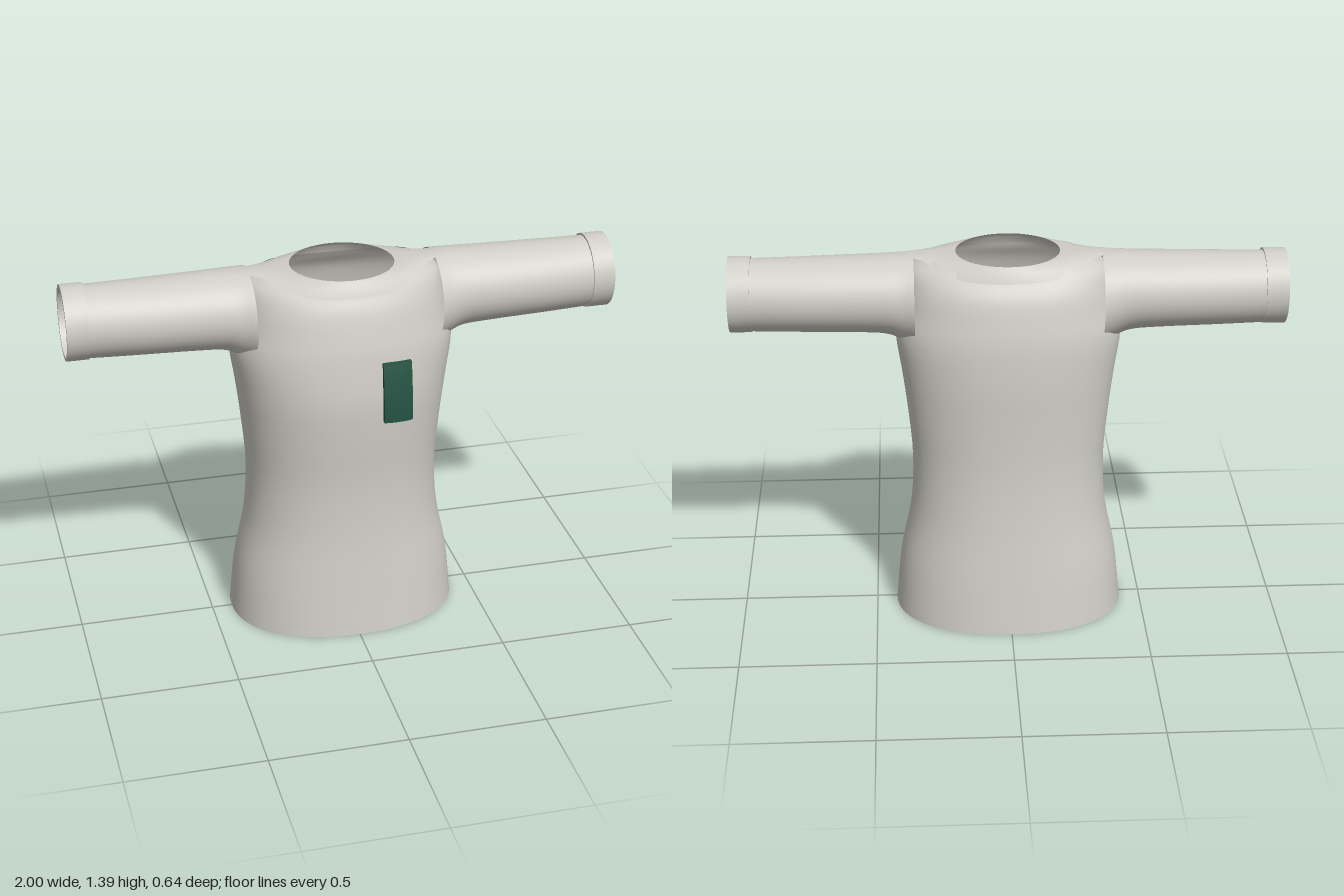
import * as THREE from 'three';
import { toCreasedNormals } from 'three/addons/utils/BufferGeometryUtils.js';

const SIDES = 64;

// Skin a list of closed rings, each given by ringAt(section, angle) -> [x, y, z]
function loft(sections, ringAt) {
  const pos = [], index = [];
  sections.forEach((s, r) => {
    for (let i = 0; i < SIDES; i++) {
      pos.push(...ringAt(s, (i / SIDES) * Math.PI * 2));
      if (r === sections.length - 1) continue;
      const a = r * SIDES + i, b = r * SIDES + (i + 1) % SIDES;
      index.push(a, b, a + SIDES, b, b + SIDES, a + SIDES);
    }
  });
  const g = new THREE.BufferGeometry();
  g.setAttribute('position', new THREE.Float32BufferAttribute(pos, 3));
  g.setIndex(index);
  g.computeVertexNormals();
  return g;
}

// Smooth extra sections between the given ones
function refine(sections, count) {
  const n = sections.length - 1;
  const cols = sections[0].map((_, c) => new THREE.CatmullRomCurve3(
    sections.map((s, i) => new THREE.Vector3(s[c], i, 0)), false, 'catmullrom', 0.5));
  return Array.from({ length: count + 1 }, (_, k) =>
    cols.map((curve) => curve.getPoint(k / count).x)).slice(0, Math.max(count + 1, n));
}

const softPow = (v, p) => Math.sign(v) * Math.abs(v) ** p;

export function createModel() {
  const group = new THREE.Group();
  const cloth = new THREE.MeshStandardMaterial({ color: 0xd0cec6, side: THREE.DoubleSide });
  cloth.name = 'pale grey cloth';
  const green = new THREE.MeshStandardMaterial({ color: 0x245343 });
  green.name = 'dark green patch';

  const add = (name, geometry, material) => {
    const mesh = new THREE.Mesh(geometry, material);
    mesh.name = name;
    group.add(mesh);
  };

  // Torso: [y, half width, front z, back z, side lift]
  const torso = [
    [0, 0.425, 0.316, -0.318, 0],
    [0.2, 0.405, 0.297, -0.293, 0],
    [0.4, 0.365, 0.281, -0.267, 0],
    [0.6, 0.354, 0.279, -0.25, 0],
    [0.8, 0.37, 0.294, -0.247, 0],
    [0.95, 0.388, 0.301, -0.248, 0],
    [1.1, 0.408, 0.286, -0.24, 0],
    [1.2, 0.39, 0.266, -0.222, 0],
    [1.28, 0.375, 0.243, -0.2, 0.005],
    [1.33, 0.352, 0.217, -0.168, 0.02],
    [1.355, 0.28, 0.207, -0.152, 0.03],
  ];
  add('torso', loft(refine(torso, 40), ([y, w, f, b, lift], a) => {
    const s = softPow(Math.sin(a), 0.9), c = softPow(Math.cos(a), 0.9);
    return [w * s, y + lift * s * s, c > 0 ? f * c : -b * c];
  }), cloth);

  // Neck yoke: slopes up to the round neck hole, pointed along the shoulders
  // [t from outer edge to hole]
  add('neckYoke', loft([0, 0.35, 0.7, 1], (t, a) => {
    const s = Math.sin(a), c = Math.cos(a);
    const outX = 0.31 * s + 0.12 * softPow(s, 60);
    const outZ = c > 0 ? 0.238 * c : 0.18 * c;
    const outY = 1.34 + 0.05 * Math.abs(s) ** 4;
    const mix = THREE.MathUtils.lerp;
    return [mix(outX, 0.188 * s, t), mix(outY, 1.392, Math.sqrt(t)),
      mix(outZ + 0.01 * s * s, 0.028 + 0.173 * c, t)];
  }), cloth);

  // Sleeves: [x, bottom y, top y, front z, back z]
  const sleeve = [
    [0.338, 1.06, 1.39, 0.185, -0.17],
    [0.38, 1.075, 1.391, 0.165, -0.155],
    [0.44, 1.1, 1.389, 0.154, -0.148],
    [0.55, 1.108, 1.386, 0.15, -0.145],
    [0.75, 1.113, 1.382, 0.14, -0.139],
    [0.93, 1.118, 1.38, 0.128, -0.13],
  ];
  // Cuffs: [x, inset] around the closed band
  const cuff = [[0.92, 0.014], [0.92, 0], [1, 0], [1, 0.014], [0.92, 0.014]];

  for (const [side, s] of [['left', 1], ['right', -1]]) {
    add(side + 'Sleeve', loft(refine(sleeve, 20), ([x, y0, y1, f, b], a) => [
      s * x,
      (y0 + y1) / 2 + (y1 - y0) / 2 * Math.cos(a),
      (f + b) / 2 + s * (f - b) / 2 * Math.sin(a),
    ]), cloth);
    add(side + 'Cuff', toCreasedNormals(loft(cuff, ([x, inset], a) => [
      s * x,
      1.251 + (0.137 - inset) * Math.cos(a),
      s * (0.133 - inset) * Math.sin(a),
    ]), 0.7), cloth);
  }

  // Chest patch: thin slab bent to follow the chest
  const patch = new THREE.BoxGeometry(0.105, 0.22, 0.018, 6, 10, 1);
  patch.translate(0.138, 0.99, 0);
  const p = patch.attributes.position;
  for (let i = 0; i < p.count; i++) {
    const rise = Math.max(0, p.getY(i) - 0.9);
    const across = (p.getX(i) - 0.138) / 0.0525;
    p.setZ(i, p.getZ(i) + 0.312 - 0.6 * rise * rise - 0.005 * across * across - 0.003 * across);
  }
  patch.computeVertexNormals();
  add('chestPatch', patch, green);

  return group;
}
